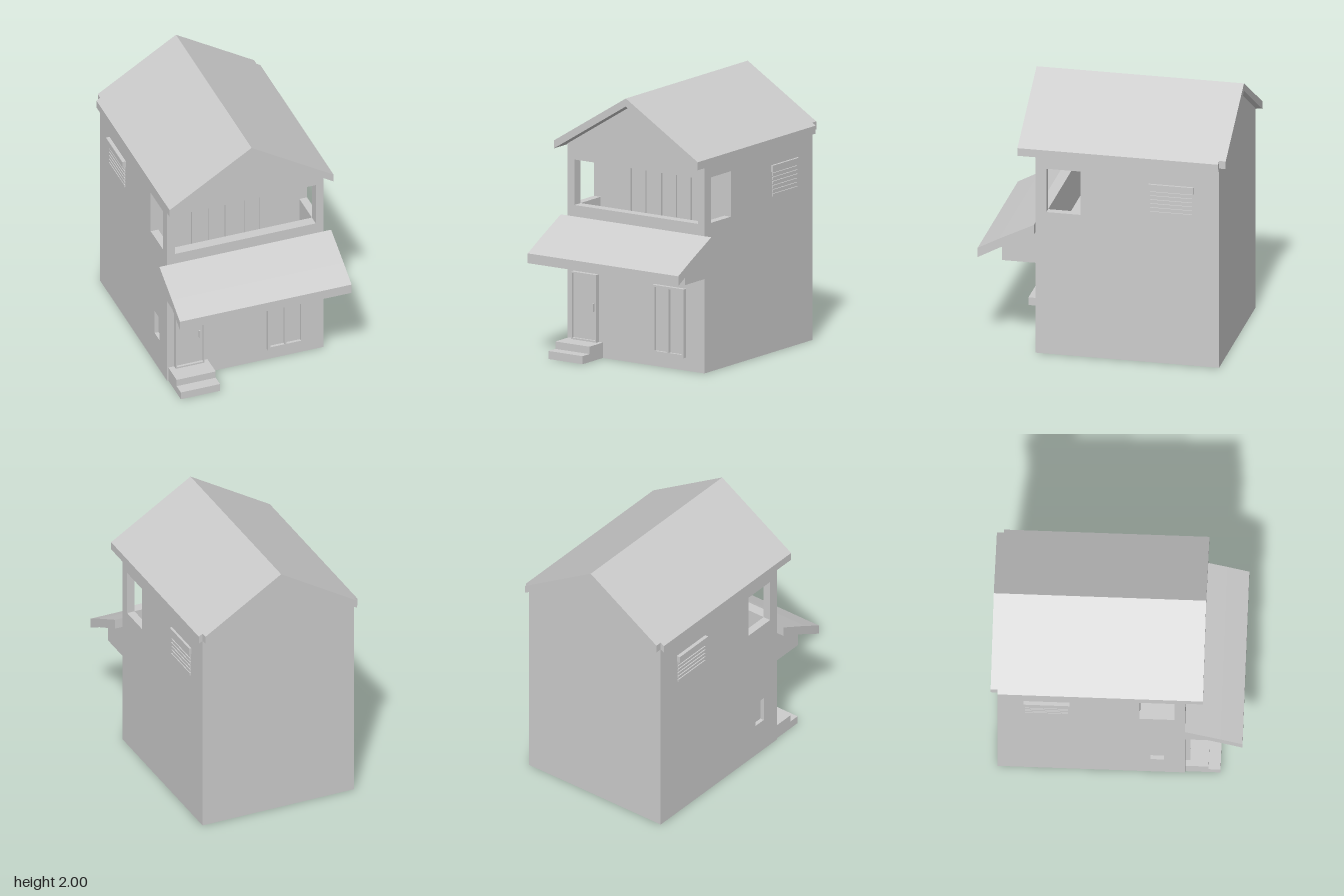
import * as THREE from 'three';

export function createModel() {
  const house = new THREE.Group();
  house.name = 'house';
  const mat = new THREE.MeshStandardMaterial({ color: 0xcccccc, flatShading: true });

  const add = (name, geo) => {
    const m = new THREE.Mesh(geo, mat);
    m.name = name;
    house.add(m);
    return m;
  };
  const box = (name, x0, x1, y0, y1, z0, z1) => {
    const g = new THREE.BoxGeometry(x1 - x0, y1 - y0, z1 - z0);
    g.translate((x0 + x1) / 2, (y0 + y1) / 2, (z0 + z1) / 2);
    return add(name, g);
  };
  const poly = (pts) => pts.map(([a, b]) => new THREE.Vector2(a, b));
  const rect = (a0, a1, b0, b1) => [[a0, b0], [a1, b0], [a1, b1], [a0, b1]];
  const extrude = (pts, depth, holes) => {
    const s = new THREE.Shape(poly(pts));
    holes.forEach((h) => s.holes.push(new THREE.Path(poly(h))));
    return new THREE.ExtrudeGeometry(s, { depth, bevelEnabled: false });
  };
  // Outline in x, y pushed along z
  const alongZ = (name, pts, z0, z1, holes = []) =>
    add(name, extrude(pts, z1 - z0, holes).translate(0, 0, z0));
  // Outline in z, y pushed along x
  const alongX = (name, pts, x0, x1, holes = []) =>
    add(name, extrude(pts, x1 - x0, holes).rotateY(-Math.PI / 2).translate(x1, 0, 0));

  const W = 0.61, BACK = -0.87, FRONT = 0.5;
  const SILL = 1.11, LINTEL = 1.45, EAVE = 1.563, APEX = 1.94;
  const RECESS = 0.165, FRONT_IN = 0.42, FLOOR = 0.8;
  const gable = (y) => [[-W, y], [W, y], [W, EAVE], [0, APEX], [-W, EAVE]];

  // Main block, front wall with the balcony opening, and the loft over the balcony
  alongZ('mainBlock', gable(0), BACK, RECESS);
  alongZ('frontWall', gable(0), FRONT_IN, FRONT, [rect(-0.55, 0.55, SILL, LINTEL)]);
  alongZ('balconyCeiling', gable(LINTEL), RECESS, FRONT_IN);

  // Balcony floor and side parapets; the right one has a small window niche
  box('balconyFloor', -0.55, 0.55, 0, FLOOR, RECESS, FRONT_IN);
  const parapet = rect(RECESS, FRONT_IN, 0, SILL);
  alongX('leftParapet', parapet, 0.55, W);
  alongX('rightParapet', parapet, -W, -0.55, [rect(0.245, 0.345, 0.26, 0.455)]);
  box('smallWindowPane', -0.58, -0.55, 0.26, 0.455, 0.245, 0.345);

  // Balcony glass doors: one frame with four panes
  const panes = [[-0.272, -0.161], [-0.14, -0.034], [0, 0.116], [0.13, 0.238]];
  alongZ('balconyDoorFrame', rect(-0.294, 0.262, FLOOR, LINTEL - 0.005), RECESS, 0.18,
    panes.map(([a, b]) => rect(a, b, FLOOR + 0.03, LINTEL - 0.02)));

  // Roof, slightly narrower where it overhangs the back wall
  const roof = (w) => {
    const drop = w * 0.617;
    return [[-w, APEX - drop], [0, APEX], [w, APEX - drop], [w, 2 - drop], [0, 2], [-w, 2 - drop]];
  };
  alongZ('roof', roof(0.64), BACK, 0.63);
  alongZ('roofBackOverhang', roof(W), -0.92, BACK);

  // Awning and the boxed beam beneath it
  alongX('awning', [[0.5, 0.95], [0.757, 0.825], [0.92, 0.737], [0.92, 0.81], [0.757, 0.897], [0.5, 1.025]],
    -0.67, 0.67);
  alongX('awningBeam', [[0.5, 0.705], [0.75, 0.705], [0.75, 0.829], [0.5, 0.95]], -W, W);

  // Front door
  alongZ('doorFrame', rect(-0.555, -0.33, 0.115, 0.62), FRONT, 0.535, [rect(-0.545, -0.34, 0.127, 0.61)]);
  box('doorPanel', -0.545, -0.34, 0.127, 0.61, FRONT, 0.515);
  box('doorHandle', -0.37, -0.36, 0.34, 0.4, 0.515, 0.53);

  // Ground floor window
  alongZ('windowFrame', rect(0.165, 0.445, 0.097, 0.612), FRONT, 0.53,
    [rect(0.185, 0.295, 0.12, 0.597), rect(0.312, 0.425, 0.12, 0.597)]);
  box('windowPane', 0.185, 0.425, 0.12, 0.597, FRONT, 0.508);

  // Entrance steps
  box('upperStep', -0.6, -0.295, 0, 0.115, FRONT, 0.67);
  box('lowerStep', -0.6, -0.295, 0, 0.06, 0.67, 0.757);

  // Louvred vents with a hood on both side walls
  for (const side of [-1, 1]) {
    const onWall = (name, depth, y0, y1, z0, z1) => {
      const a = side * (W - 0.01), b = side * (W + depth);
      box(name, Math.min(a, b), Math.max(a, b), y0, y1, z0, z1);
    };
    onWall('ventHood', side < 0 ? 0.028 : 0.018, 1.35, 1.4, -0.68, -0.345);
    for (let i = 0; i < 6; i++) {
      const y = 1.165 + i * 0.031;
      onWall('ventSlat', 0.01, y, y + 0.021, -0.67, -0.355);
    }
  }
  return house;
}
